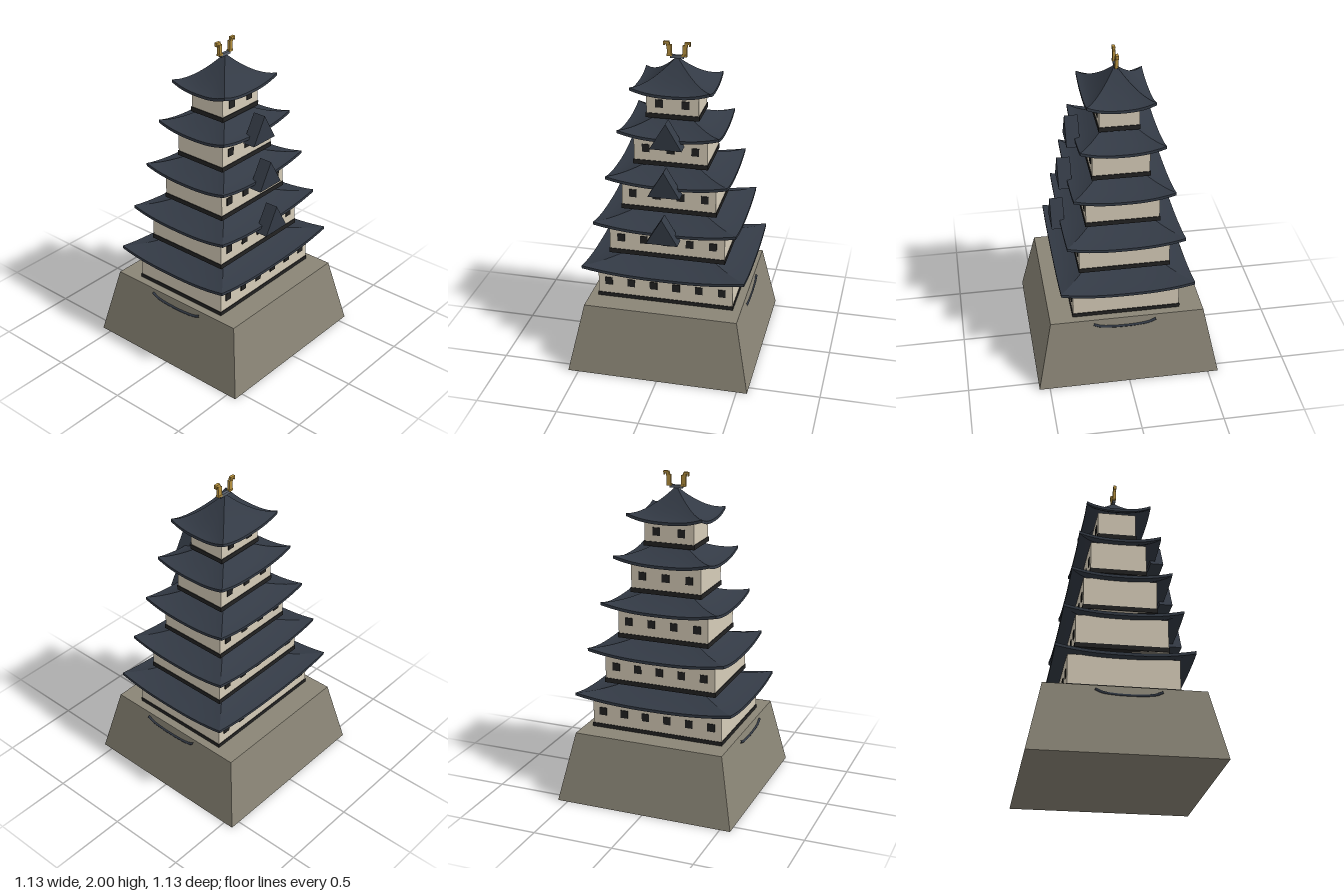
import * as THREE from 'three';
import { toCreasedNormals } from 'three/addons/utils/BufferGeometryUtils.js';

const mat = (color) => new THREE.MeshStandardMaterial({ color });
const STONE = mat(0x8a8576), PLASTER = mat(0xd6ccb8), TILE = mat(0x333a45);
const TIMBER = mat(0x222222), GOLD = mat(0xb8923f), RIDGE = mat(0x5a616b);

function add(parent, name, geometry, material, x = 0, y = 0, z = 0) {
  const mesh = new THREE.Mesh(geometry, material);
  mesh.name = name;
  mesh.position.set(x, y, z);
  parent.add(mesh);
  return mesh;
}
const box = (w, h, d) => new THREE.BoxGeometry(w, h, d);

// One of four slopes: the sheet runs up the underside, round the eave, and up the tiles
function roofSlope(hx, hz, rise, side) {
  const rows = 10, cols = 16, thick = 0.018, lift = 0.036;
  const g = new THREE.PlaneGeometry(2, 1, cols, rows * 2 + 1);
  const p = g.attributes.position;
  const s = side < 2 ? 1 : -1;
  for (let i = 0; i < p.count; i++) {
    const u = p.getX(i);
    const row = Math.round((p.getY(i) + 0.5) * (rows * 2 + 1));
    const top = row > rows;
    const t = (top ? row - rows - 1 : rows - row) / rows;
    const r = 1 - t;
    const y = rise * t ** 1.5 + lift * Math.abs(u) ** 2.5 * r * r + (top ? thick : 0);
    if (side % 2 === 0) p.setXYZ(i, s * u * hx * r, y, s * hz * r);
    else p.setXYZ(i, s * hx * r, y, -s * u * hz * r);
  }
  return toCreasedNormals(g, 0.6);
}

// Triangular gable set on the front of a roof
function gableGeometry(half, height, depth) {
  const shape = new THREE.Shape();
  shape.moveTo(-half, 0);
  shape.lineTo(half, 0);
  shape.lineTo(0, height);
  shape.closePath();
  return new THREE.ExtrudeGeometry(shape, { depth, bevelEnabled: false });
}

// Upturned fish-like ridge ornament; dir points its tail outward
function finial(dir) {
  const g = new THREE.Group();
  g.name = 'ridgeFinial';
  add(g, 'finialBase', box(0.032, 0.012, 0.022), GOLD, dir * 0.045, 1.918);
  add(g, 'finialBody', box(0.026, 0.06, 0.018), GOLD, dir * 0.047, 1.95);
  add(g, 'finialNeck', box(0.02, 0.022, 0.016), GOLD, dir * 0.055, 1.982);
  add(g, 'finialTail', box(0.034, 0.012, 0.018), GOLD, dir * 0.064, 1.994);
  add(g, 'finialTailTip', box(0.008, 0.02, 0.018), GOLD, dir * 0.077, 1.986);
  return g;
}

export function createModel() {
  const model = new THREE.Group();
  model.name = 'castleKeep';

  // Battered stone base
  const base = new THREE.CylinderGeometry(0.475 * Math.SQRT2, 0.565 * Math.SQRT2, 0.43, 4).toNonIndexed();
  base.rotateY(Math.PI / 4);
  base.computeVertexNormals();
  add(model, 'stoneBase', base, STONE, 0, 0.215);

  // Sagging curved rails on both flanks of the base
  for (const s of [-1, 1]) {
    const path = new THREE.CatmullRomCurve3([[0.212, 0.405], [0.17, 0.387], [0.09, 0.377], [0.017, 0.375],
      [-0.06, 0.377], [-0.135, 0.387], [-0.175, 0.405]]
      .map(([z, y]) => new THREE.Vector3(s * 0.485, y, z)));
    add(model, 'baseRail', new THREE.TubeGeometry(path, 24, 0.008, 8), TILE);
  }

  // Storeys: wall half sizes, floor, eave half sizes, eave height, roof rise, windows
  const tiers = [
    { wx: 0.423, wz: 0.331, y: 0.425, rx: 0.503, rz: 0.408, eave: 0.612, rise: 0.18, n: 6, gap: 0.142, wy: 0.537 },
    { wx: 0.36, wz: 0.279, y: 0.711, rx: 0.438, rz: 0.357, eave: 0.894, rise: 0.17, n: 5, gap: 0.143, wy: 0.82, gable: [0.868, 0.328] },
    { wx: 0.292, wz: 0.226, y: 0.995, rx: 0.37, rz: 0.305, eave: 1.178, rise: 0.16, n: 4, gap: 0.148, wy: 1.102, gable: [1.153, 0.277] },
    { wx: 0.227, wz: 0.175, y: 1.277, rx: 0.306, rz: 0.254, eave: 1.461, rise: 0.155, n: 3, gap: 0.151, wy: 1.384, gable: [1.436, 0.224] },
    { wx: 0.161, wz: 0.122, y: 1.561, rx: 0.24, rz: 0.202, eave: 1.715, rise: 0.18, n: 2, gap: 0.16, wy: 1.653 },
  ];
  for (const t of tiers) {
    const tier = new THREE.Group();
    tier.name = 'storey';
    model.add(tier);

    const h = t.eave + 0.024 - t.y;
    add(tier, 'wall', box(t.wx * 2 - 0.004, h, t.wz * 2 - 0.004), PLASTER, 0, t.y + h / 2);
    add(tier, 'timberBand', box(t.wx * 2 + 0.004, 0.029, t.wz * 2 + 0.004), TIMBER, 0, t.y + 0.0145);

    // Windows on the front and back
    for (let i = 0; i < t.n; i++)
      for (const s of [-1, 1])
        add(tier, 'window', box(0.047, 0.049, 0.01), TIMBER, (i - (t.n - 1) / 2) * t.gap, t.wy, s * (t.wz - 0.002));

    // Curved hipped roof
    const roof = new THREE.Group();
    roof.name = 'roof';
    roof.position.y = t.eave;
    tier.add(roof);
    for (let k = 0; k < 4; k++) add(roof, 'roofSlope', roofSlope(t.rx, t.rz, t.rise, k), TILE);

    if (t.gable) add(tier, 'frontGable', gableGeometry(0.097, 0.165, 0.082), TILE, 0, t.gable[0], t.gable[1]);
  }

  // Ridge and its pair of ornaments
  add(model, 'ridge', box(0.084, 0.018, 0.018), RIDGE, 0, 1.91);
  model.add(finial(-1), finial(1));
  return model;
}
